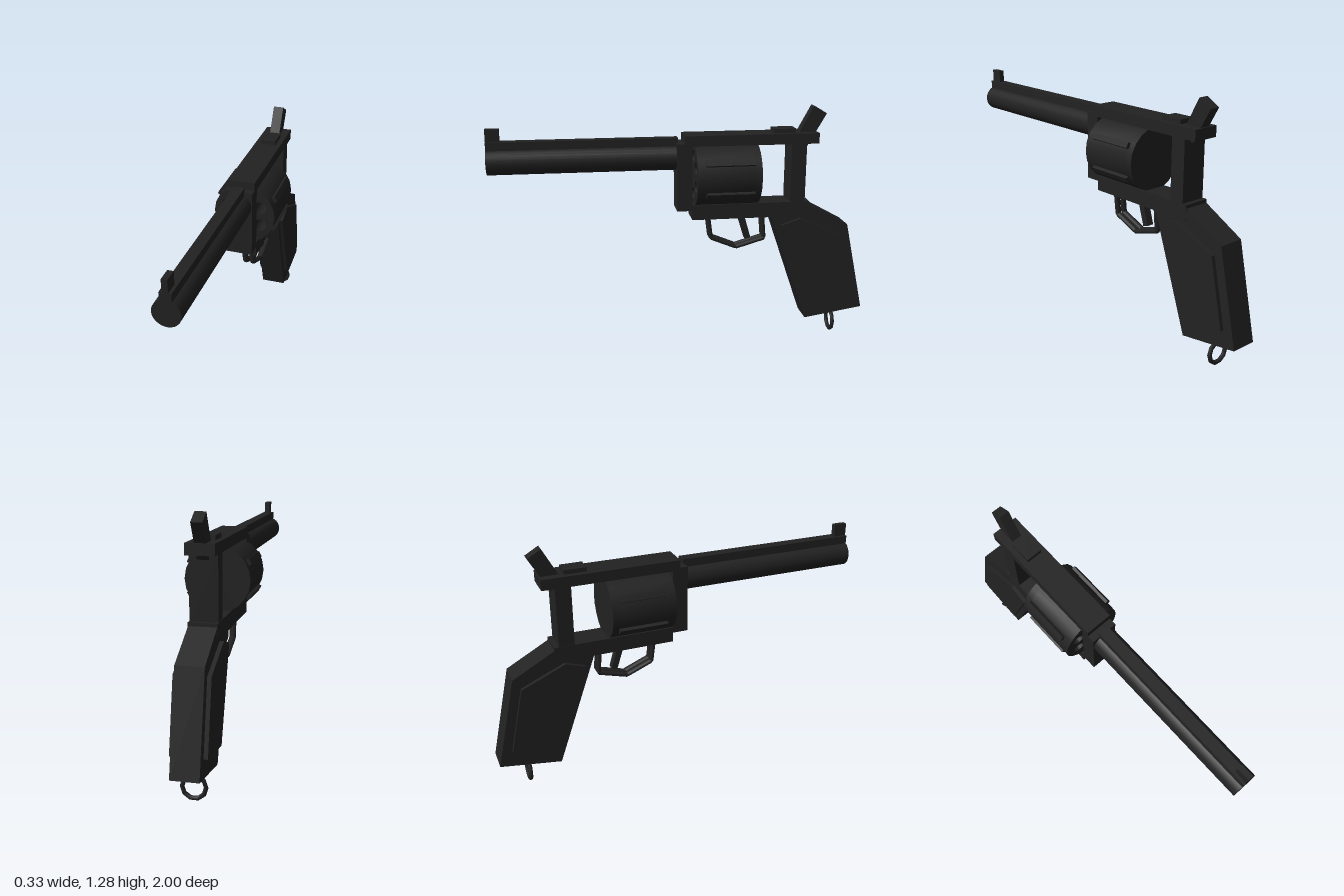
import * as THREE from 'three';
import { toCreasedNormals } from 'three/addons/utils/BufferGeometryUtils.js';

export function createModel() {
  const model = new THREE.Group();
  model.name = 'revolver';
  const steel = new THREE.MeshStandardMaterial({ color: 0x222222 });
  steel.name = 'dark steel';

  const add = (name, geometry, parent = model) => {
    const mesh = new THREE.Mesh(geometry, steel);
    mesh.name = name;
    parent.add(mesh);
    return mesh;
  };

  // Box from half width, y range and z range
  const block = (name, halfW, y0, y1, z0, z1, parent) => {
    const mesh = add(name, new THREE.BoxGeometry(halfW * 2, y1 - y0, z1 - z0), parent);
    mesh.position.set(0, (y0 + y1) / 2, (z0 + z1) / 2);
    return mesh;
  };

  // Side profile of [z, y] points, extruded across x
  const profile = (name, halfW, points) => {
    const shape = new THREE.Shape(points.map(([z, y]) => new THREE.Vector2(-z, y)));
    const geo = new THREE.ExtrudeGeometry(shape, { depth: halfW * 2, bevelEnabled: false });
    geo.translate(0, 0, -halfW).rotateY(Math.PI / 2);
    return add(name, geo);
  };

  // Barrel with top rib and front sight
  const barrel = new THREE.CylinderGeometry(0.067, 0.067, 0.97, 24).rotateX(Math.PI / 2);
  add('barrel', barrel).position.set(0, 1.032, 0.515);
  block('barrelRib', 0.028, 1.05, 1.135, 0.03, 1);
  block('frontSight', 0.014, 1.13, 1.2, 0.93, 1);

  // Open frame around the drum
  const frame = new THREE.Group();
  frame.name = 'frame';
  model.add(frame);
  block('frameFront', 0.07, 0.755, 1.11, -0.04, 0.04, frame);
  block('topStrap', 0.07, 1.095, 1.15, -0.71, 0, frame);
  block('bottomStrap', 0.07, 0.705, 0.785, -0.67, -0.04, frame);
  block('rearPost', 0.068, 0.78, 1.1, -0.645, -0.565, frame);
  block('rearSight', 0.042, 1.14, 1.172, -0.59, -0.475, frame);

  // Hammer, leaning back
  profile('hammer', 0.027, [
    [-0.585, 1.1], [-0.655, 1.07], [-0.757, 1.246], [-0.687, 1.287],
  ].reverse());

  // Drum with six open chambers and six outer ribs
  const drum = new THREE.Group();
  drum.name = 'drum';
  drum.position.set(0, 0.935, 0);
  model.add(drum);
  const R = 0.163, sides = 20;
  const ring = new THREE.Shape();
  for (let i = 0; i < sides; i++) {
    const a = (i / sides) * Math.PI * 2;
    ring[i ? 'lineTo' : 'moveTo'](R * Math.cos(a), R * Math.sin(a));
  }
  ring.closePath();
  for (let i = 0; i < 6; i++) {
    const a = Math.PI / 6 + (i * Math.PI) / 3;
    const hole = new THREE.Path();
    hole.absarc(0.1 * Math.cos(a), 0.1 * Math.sin(a), 0.033, 0, Math.PI * 2, true);
    ring.holes.push(hole);
    const rib = add('drumRib', new THREE.BoxGeometry(0.04, 0.03, 0.255), drum);
    rib.position.set(0.158 * Math.cos(a), 0.158 * Math.sin(a), -0.228);
    rib.rotation.z = a;
    // top and bottom ribs sit inside the straps
    if (i % 3 === 1) rib.scale.x = 0.5;
  }
  const body = new THREE.ExtrudeGeometry(ring, { depth: 0.3, bevelEnabled: false, curveSegments: 8 });
  add('drumBody', toCreasedNormals(body, 0.7), drum).position.z = -0.355;
  const back = new THREE.CylinderGeometry(R, R, 0.035, sides).rotateY(Math.PI / 2).rotateX(Math.PI / 2);
  add('drumBack', back, drum).position.z = -0.3725;

  // Trigger and the paired bars of its guard
  profile('trigger', 0.02, [[-0.29, 0.72], [-0.335, 0.575], [-0.365, 0.583], [-0.325, 0.72]]);
  const guardPath = new THREE.CurvePath();
  const pts = [[-0.13, 0.72], [-0.147, 0.59], [-0.286, 0.533], [-0.438, 0.577], [-0.425, 0.72]]
    .map(([z, y]) => new THREE.Vector3(0, y, z));
  for (let i = 1; i < pts.length; i++) guardPath.add(new THREE.LineCurve3(pts[i - 1], pts[i]));
  const guard = new THREE.TubeGeometry(guardPath, 60, 0.012, 8).scale(1.45, 1, 1);
  for (const side of [-1, 1]) add('triggerGuardBar', guard).position.x = side * 0.02;

  // Grip core and raised side panels
  profile('grip', 0.068, [
    [-0.468, 0.71], [-0.676, 0.113], [-0.997, 0.162], [-0.89, 0.647], [-0.67, 0.768],
  ]);
  profile('gripPanels', 0.088, [
    [-0.518, 0.66], [-0.678, 0.21], [-0.928, 0.243], [-0.853, 0.594], [-0.623, 0.695],
  ]);

  // Lanyard ring under the grip
  add('lanyardRing', new THREE.TorusGeometry(0.056, 0.011, 8, 10)).position.set(0, 0.069, -0.842);

  return model;
}
